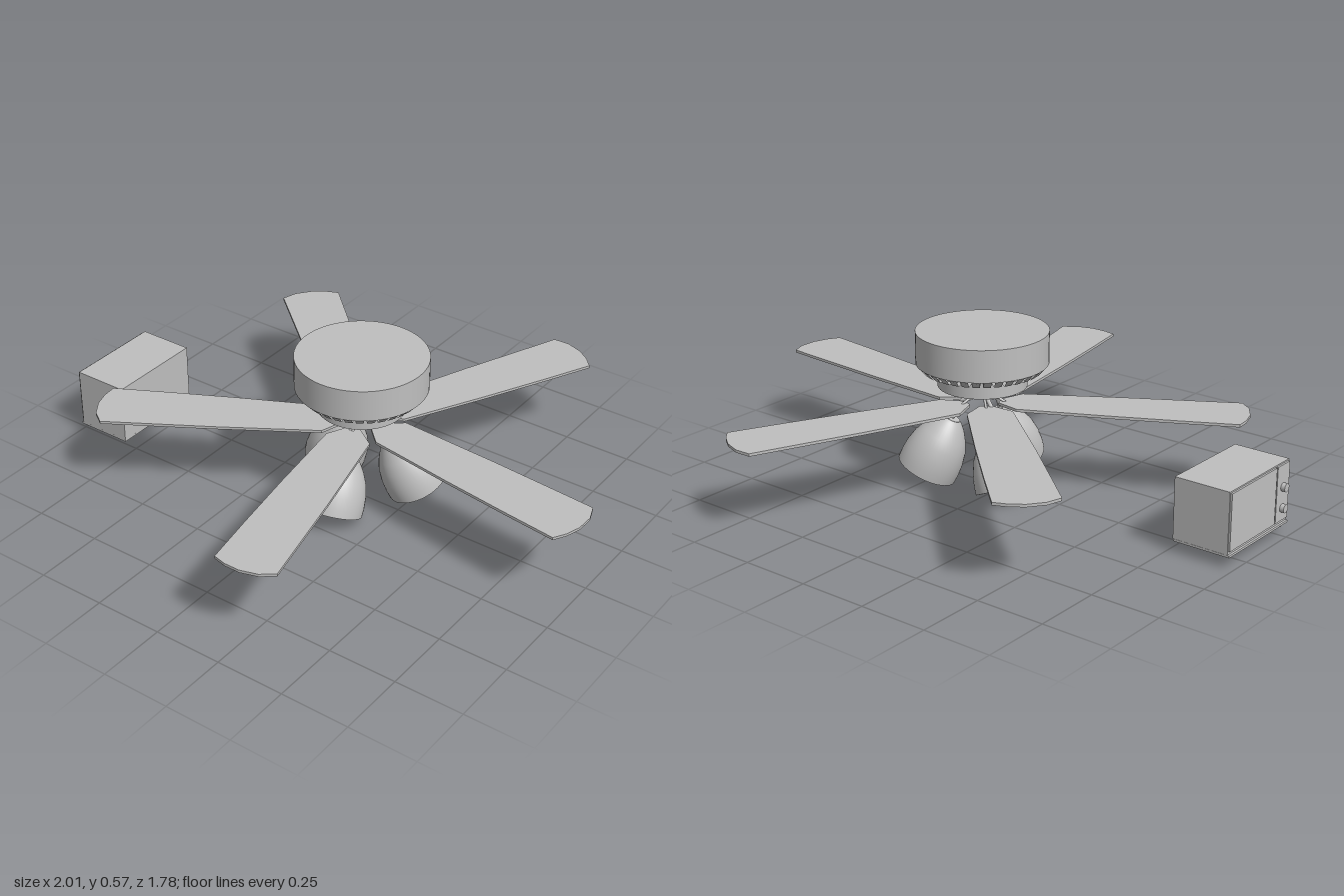
import * as THREE from 'three';

const CX = 0.083, CZ = -0.01;
const DEG = Math.PI / 180;

export function createModel() {
  const model = new THREE.Group();
  const grey = new THREE.MeshStandardMaterial({ color: 0xbfbfbf, side: THREE.DoubleSide });
  grey.name = 'plain grey';

  const add = (parent, name, geometry, x = 0, y = 0, z = 0) => {
    const mesh = new THREE.Mesh(geometry, grey);
    mesh.name = name;
    mesh.position.set(x, y, z);
    parent.add(mesh);
    return mesh;
  };
  const v2 = (pts) => pts.map(([x, y]) => new THREE.Vector2(x, y));
  const tube = (pts, radius) => new THREE.TubeGeometry(
    new THREE.CatmullRomCurve3(pts.map((p) => new THREE.Vector3(...p))), 20, radius, 8);
  // Group turned about the fan's axle, its +x pointing outwards
  const spoke = (parent, name, degrees) => {
    const group = new THREE.Group();
    group.name = name;
    group.rotation.y = -degrees * DEG;
    parent.add(group);
    return group;
  };

  const fan = new THREE.Group();
  fan.name = 'ceilingFan';
  fan.position.set(CX, 0, CZ);
  model.add(fan);

  // Motor housing with a slotted underside and a narrower neck
  add(fan, 'motorHousing', new THREE.CylinderGeometry(0.233, 0.233, 0.115, 64), 0, 0.5125, 0);
  add(fan, 'neck', new THREE.CylinderGeometry(0.157, 0.157, 0.06, 48), 0, 0.4, 0);
  for (let i = 0; i < 36; i++) {
    add(fan, 'ventRib', new THREE.LatheGeometry(
      v2([[0.155, 0.43], [0.21, 0.43], [0.233, 0.456]]), 2, i * 10 * DEG, 7 * DEG));
  }

  // Five flat blades, slightly wider towards their angled tips
  const bladeShape = new THREE.Shape(v2([
    [0.06, -0.02], [0.13, -0.085], [0.5, -0.097], [0.9, -0.102], [0.925, -0.05],
    [0.93, 0.015], [0.918, 0.07], [0.897, 0.115], [0.7, 0.108], [0.45, 0.096],
    [0.13, 0.075], [0.06, 0.02],
  ]));
  const bladeGeometry = new THREE.ExtrudeGeometry(bladeShape, { depth: 0.01, bevelEnabled: false });
  bladeGeometry.rotateX(Math.PI / 2);
  for (let i = 0; i < 5; i++) {
    const arm = spoke(fan, 'bladeArm', 5.7 + i * 72);
    add(arm, 'blade', bladeGeometry, 0, 0.311, 0);
    add(arm, 'bladeBracket', new THREE.BoxGeometry(0.13, 0.006, 0.025), 0.125, 0.298, 0);
    add(arm, 'bladeHanger', tube([[0.025, 0.375, 0], [0.035, 0.34, 0], [0.08, 0.308, 0]], 0.005));
  }

  // Three bell-shaped lamps on curved stems
  const shadeProfile = v2([[0.11, 0], [0.111, 0.03], [0.108, 0.07], [0.098, 0.115],
    [0.082, 0.15], [0.06, 0.185], [0.042, 0.205], [0.03, 0.215]]);
  const coil = [];
  for (let i = 0; i <= 48; i++) {
    const a = i / 48 * Math.PI * 7;
    coil.push(new THREE.Vector3(0.022 * Math.cos(a), 0.045 + 0.06 * i / 48, 0.022 * Math.sin(a)));
  }
  const coilGeometry = new THREE.TubeGeometry(new THREE.CatmullRomCurve3(coil), 120, 0.008, 8);
  for (let i = 0; i < 3; i++) {
    const arm = spoke(fan, 'lampArm', 86 + i * 120);
    add(arm, 'lampStem', tube([[0.022, 0.38, 0], [0.03, 0.34, 0], [0.075, 0.305, 0],
      [0.1, 0.275, 0], [0.11, 0.235, 0]], 0.008));
    const lamp = new THREE.Group();
    lamp.name = 'lamp';
    lamp.position.set(0.2, 0.0475, 0);
    lamp.rotation.z = 25.5 * DEG;
    arm.add(lamp);
    add(lamp, 'lampShade', new THREE.LatheGeometry(shadeProfile, 40));
    add(lamp, 'shadeCap', new THREE.CylinderGeometry(0.03, 0.03, 0.006, 24), 0, 0.213, 0);
    add(lamp, 'bulbBase', new THREE.CylinderGeometry(0.02, 0.028, 0.108, 20), 0, 0.158, 0);
    add(lamp, 'bulbCoil', coilGeometry);
  }

  // Separate box with its door and controls facing -x
  const box = new THREE.Group();
  box.name = 'controlBox';
  box.position.set(-0.8775, 0, 0.1);
  model.add(box);
  add(box, 'boxBody', new THREE.BoxGeometry(0.207, 0.217, 0.365), 0.004, 0.1565, 0);
  add(box, 'basePlate', new THREE.BoxGeometry(0.213, 0.008, 0.363), 0, 0.043, 0);
  add(box, 'door', new THREE.BoxGeometry(0.007, 0.2, 0.275), -0.103, 0.16, -0.042);
  add(box, 'controlPanel', new THREE.BoxGeometry(0.007, 0.2, 0.076), -0.103, 0.16, 0.139);
  for (const y of [0.105, 0.18]) {
    const knob = add(box, 'knob', new THREE.CylinderGeometry(0.015, 0.015, 0.015, 20), -0.114, y, 0.139);
    knob.rotation.z = Math.PI / 2;
  }
  add(box, 'foot', new THREE.CylinderGeometry(0.015, 0.015, 0.012, 20), -0.082, 0.035, 0.155);

  return model;
}
